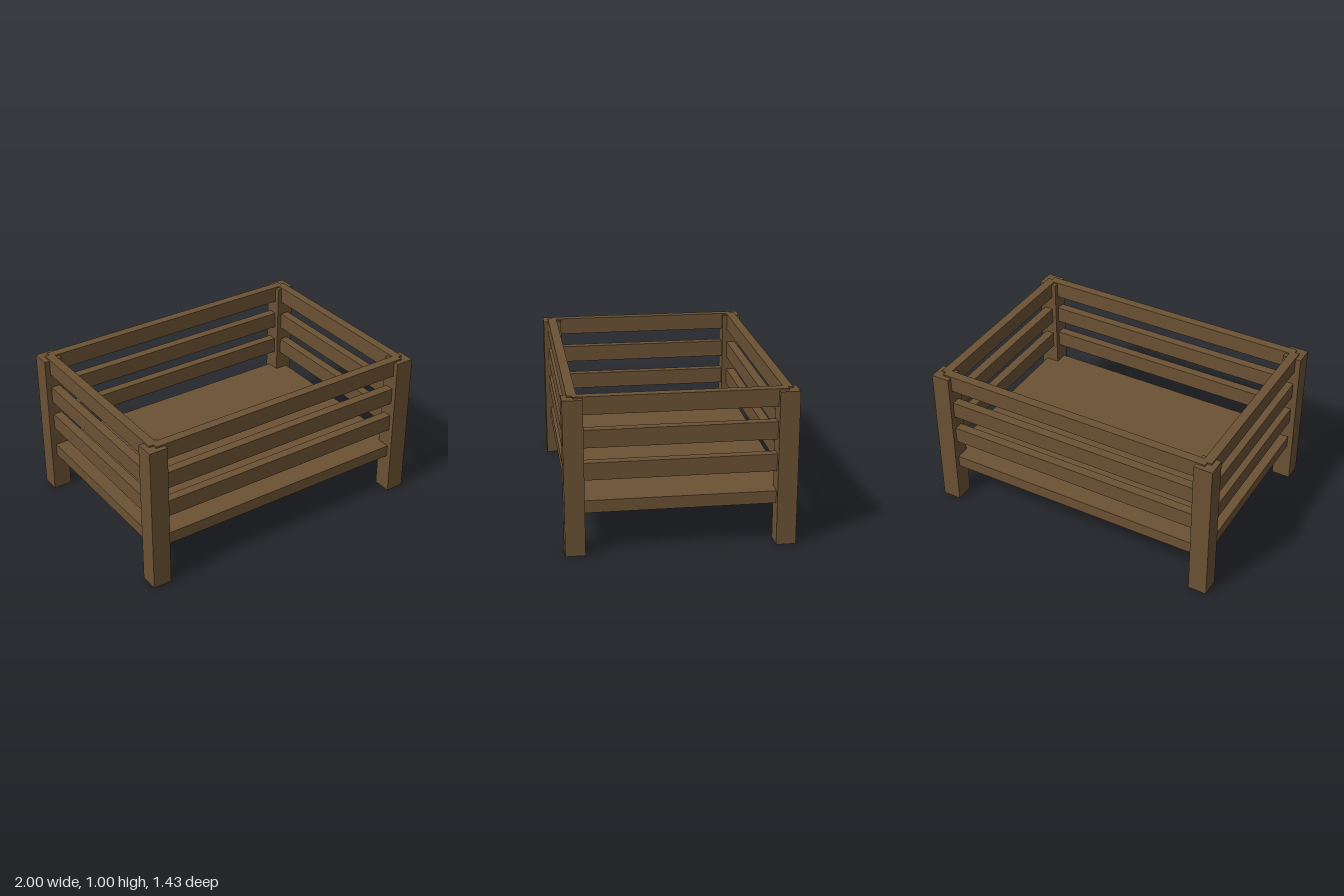
import * as THREE from 'three';

export function createModel() {
  const model = new THREE.Group();
  const wood = new THREE.MeshStandardMaterial({ color: 0x6b5234 });
  wood.name = 'brown wood';

  // box from its centre in plan and its bottom and top heights
  function addBox(name, width, depth, x, z, bottom, top) {
    const mesh = new THREE.Mesh(new THREE.BoxGeometry(width, top - bottom, depth), wood);
    mesh.name = name;
    mesh.position.set(x, (bottom + top) / 2, z);
    model.add(mesh);
  }

  // corner posts
  for (const sx of [-1, 1]) {
    for (const sz of [-1, 1]) {
      const name = (sz > 0 ? 'front' : 'back') + (sx > 0 ? 'Left' : 'Right') + 'Post';
      addBox(name, 0.124, 0.124, sx * 0.938, sz * 0.652, 0, 0.99);
    }
  }

  // solid floor between the posts
  addBox('floor', 1.93, 1.36, 0, 0, 0.265, 0.345);

  // three rails on every side, crossing inside the posts
  [[0.475, 0.585], [0.68, 0.792], [0.888, 1]].forEach(([bottom, top], i) => {
    for (const s of [-1, 1]) {
      addBox((s > 0 ? 'front' : 'back') + 'Rail' + (i + 1), 1.87, 0.06, 0, s * 0.652, bottom, top);
      addBox((s > 0 ? 'left' : 'right') + 'Rail' + (i + 1), 0.06, 1.3, s * 0.935, 0, bottom, top);
    }
  });

  return model;
}
